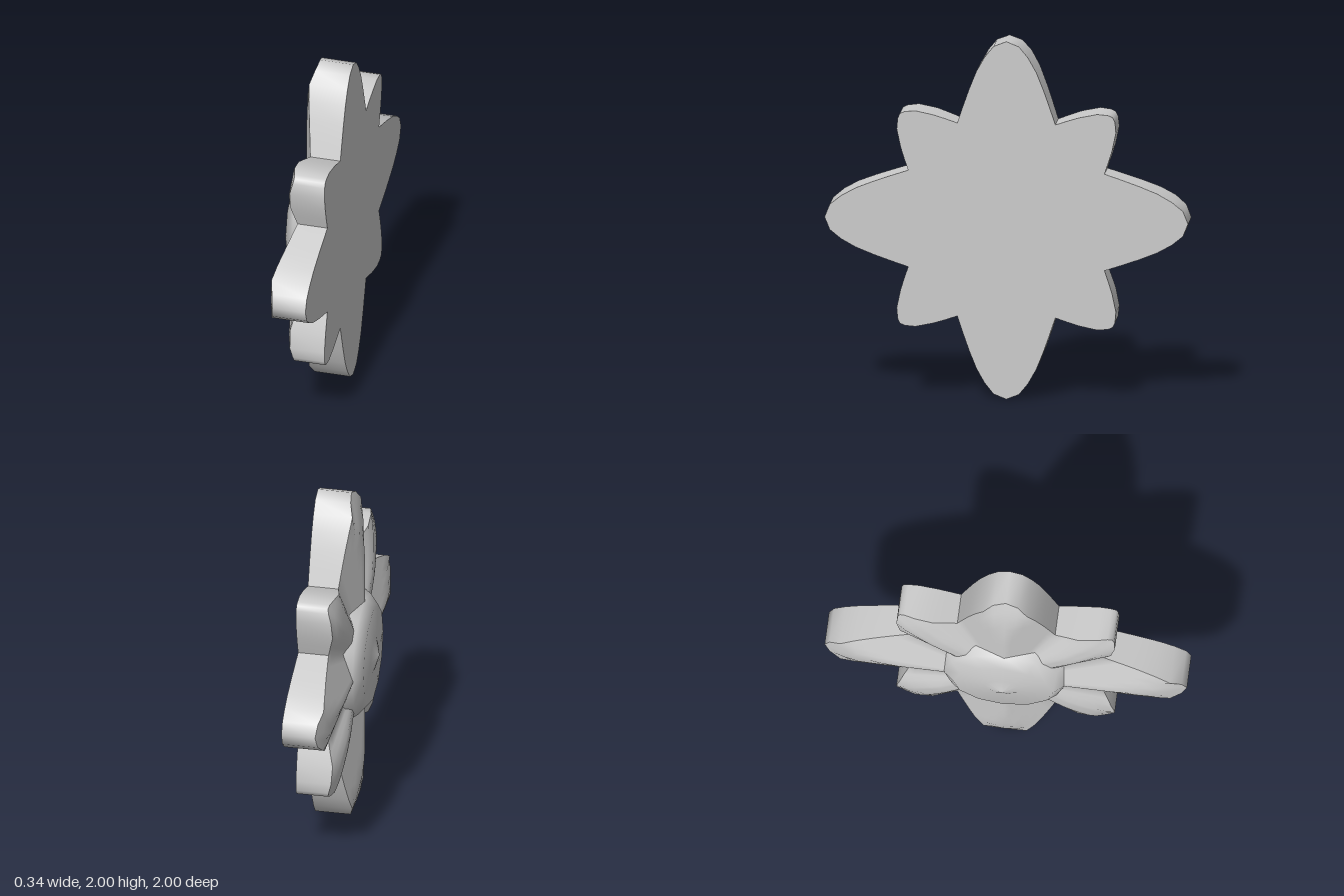
import * as THREE from 'three';
import { toCreasedNormals } from 'three/addons/utils/BufferGeometryUtils.js';

const BACK = -0.17;        // heights are measured towards -x
const RINGS = 12;

// One eighth of the outline: half a long petal, then half a short diagonal petal
const EIGHTH = [
  [0, 1], [0.07, 0.972], [0.12, 0.91], [0.165, 0.83], [0.205, 0.73], [0.24, 0.63],
  [0.27, 0.54], [0.335, 0.562], [0.4, 0.582], [0.5, 0.603], [0.56, 0.598], [0.586, 0.586],
];
// Height of the petal ridges along their length: [radius, height]
const LONG_RIDGE = [[0, 0.095], [0.62, 0.095], [0.8, 0.075], [0.93, 0.045], [1, 0.018]];
const SHORT_RIDGE = [[0, 0.075], [0.5, 0.075], [0.7, 0.05], [0.8, 0.022], [0.84, 0]];

function sample(table, r) {
  for (let i = 1; i < table.length; i++) {
    const [r0, h0] = table[i - 1], [r1, h1] = table[i];
    if (r <= r1) return h0 + (h1 - h0) * (r - r0) / (r1 - r0);
  }
  return table[table.length - 1][1];
}

// Each petal is roof-shaped: a ridge falling to the valleys on both sides
function petalHeight(z, y) {
  const a = Math.max(Math.abs(z), Math.abs(y)), b = Math.min(Math.abs(z), Math.abs(y));
  const r = Math.hypot(a, b);
  if (b <= a * 0.5) return Math.min(sample(LONG_RIDGE, r), 0.095 * (1 - b / 0.27));
  const side = (a - b) / Math.SQRT2;
  return Math.min(sample(SHORT_RIDGE, r), 0.095 * (1 - side / 0.191));
}

function flowerGeometry() {
  // Mirror the eighth to a quarter, then turn it four times
  const quarter = [...EIGHTH, ...EIGHTH.slice(1, -1).reverse().map(([z, y]) => [y, z])];
  const outline = [];
  for (let q = 0; q < 4; q++) {
    const c = Math.round(Math.cos(q * Math.PI / 2)), s = Math.round(Math.sin(q * Math.PI / 2));
    for (const [z, y] of quarter) outline.push([z * c + y * s, y * c - z * s]);
  }
  const n = outline.length, pos = [], index = [];

  // Rows: front centre to rim, rim of the back, back centre
  for (let j = 0; j <= RINGS + 2; j++) {
    const s = j <= RINGS ? j / RINGS : j === RINGS + 1 ? 1 : 0;
    for (const [z, y] of outline) {
      const h = j <= RINGS ? petalHeight(z * s, y * s) : BACK;
      pos.push(-h, y * s, z * s);
    }
  }
  for (let j = 0; j < RINGS + 2; j++) {
    for (let i = 0; i < n; i++) {
      const k = (i + 1) % n;
      const a = j * n + i, b = j * n + k, c = a + n, d = b + n;
      if (j < RINGS + 1) index.push(a, d, c);
      if (j > 0) index.push(a, b, d);
    }
  }
  const geo = new THREE.BufferGeometry();
  geo.setAttribute('position', new THREE.Float32BufferAttribute(pos, 3));
  geo.setIndex(index);
  return toCreasedNormals(geo, 0.8);
}

export function createModel() {
  const stone = new THREE.MeshStandardMaterial({ color: 0xcccccc });
  stone.name = 'paleGrey';
  const group = new THREE.Group();
  group.name = 'rosette';

  const petals = new THREE.Mesh(flowerGeometry(), stone);
  petals.name = 'petals';
  petals.position.y = 1;
  group.add(petals);

  // Raised centre with a low point
  const profile = [[0.38, 0.02], [0.335, 0.09], [0.275, 0.14], [0.1, 0.146], [0, 0.175]]
    .map(([r, h]) => new THREE.Vector2(r, h));
  const boss = new THREE.Mesh(new THREE.LatheGeometry(profile, 12), stone);
  boss.name = 'centreBoss';
  boss.rotation.z = Math.PI / 2;
  boss.position.y = 1;
  group.add(boss);

  return group;
}
